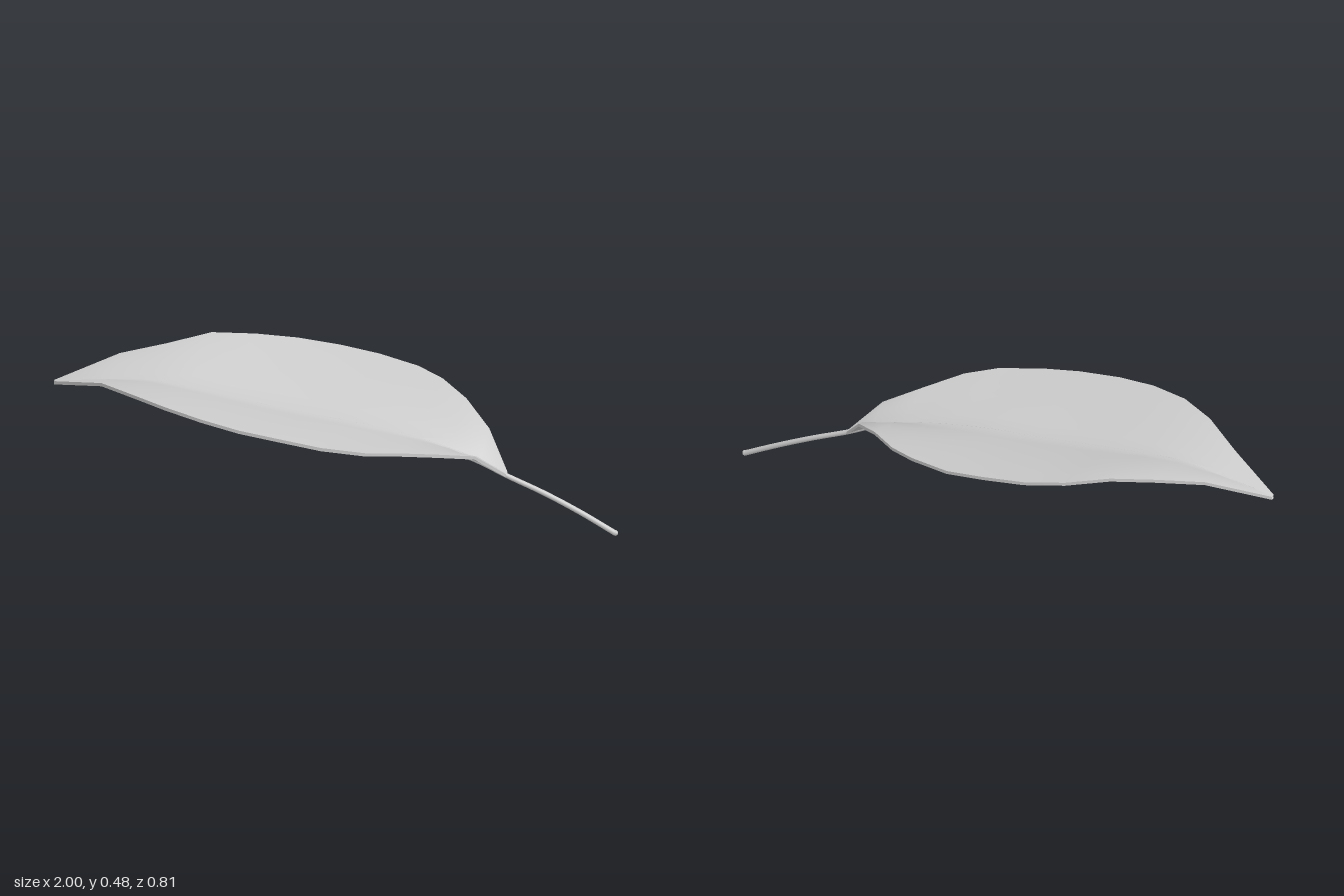
import * as THREE from 'three';
import { toCreasedNormals } from 'three/addons/utils/BufferGeometryUtils.js';

// Leaf cross-sections: x, back edge z y, midrib z y, front edge z y
const STATIONS = [
  [-1.00, -0.015, 0.366, -0.01, 0.366, 0.00, 0.366],
  [-0.80, -0.13, 0.440, 0.00, 0.393, 0.12, 0.425],
  [-0.65, -0.215, 0.460, 0.01, 0.407, 0.245, 0.442],
  [-0.52, -0.30, 0.480, 0.015, 0.398, 0.325, 0.442],
  [-0.38, -0.365, 0.464, 0.02, 0.382, 0.375, 0.430],
  [-0.24, -0.40, 0.450, 0.025, 0.365, 0.40, 0.413],
  [-0.09, -0.407, 0.436, 0.028, 0.348, 0.403, 0.396],
  [0.05, -0.40, 0.420, 0.03, 0.336, 0.395, 0.376],
  [0.20, -0.355, 0.407, 0.03, 0.316, 0.36, 0.358],
  [0.30, -0.30, 0.392, 0.03, 0.298, 0.30, 0.345],
  [0.41, -0.20, 0.368, 0.03, 0.272, 0.205, 0.315],
  [0.52, -0.09, 0.310, 0.028, 0.236, 0.11, 0.283],
  [0.61, 0.008, 0.196, 0.022, 0.194, 0.03, 0.196],
];
const THICKNESS = 0.012;
const HALF = 6; // divisions from midrib to edge

// Closed thin blade: each ring runs across the top and back underneath
function bladeGeometry() {
  const pos = [], index = [];
  const n = 2 * HALF + 1;
  for (const [x, zb, yb, zm, ym, zf, yf] of STATIONS) {
    const section = [];
    for (let k = -HALF; k <= HALF; k++) {
      const s = Math.abs(k) / HALF;
      const [ze, ye] = k < 0 ? [zb, yb] : [zf, yf];
      // steep beside the midrib, flattening toward the edge
      const rise = s * (1.55 - 0.55 * s);
      section.push([x, ym + (ye - ym) * rise, zm + (ze - zm) * s]);
    }
    section.forEach((p) => pos.push(...p));
    section.reverse().forEach(([px, py, pz]) => pos.push(px, py - THICKNESS, pz));
  }
  const ring = 2 * n;
  for (let i = 0; i < STATIONS.length - 1; i++) {
    for (let j = 0; j < ring; j++) {
      const a = i * ring + j, b = i * ring + ((j + 1) % ring);
      index.push(a, b, a + ring, b, b + ring, a + ring);
    }
  }
  const g = new THREE.BufferGeometry();
  g.setAttribute('position', new THREE.Float32BufferAttribute(pos, 3));
  g.setIndex(index);
  return toCreasedNormals(g, 0.7);
}

// Tube whose radius narrows along its length
function taperedTube(points, r0, r1) {
  const curve = new THREE.CatmullRomCurve3(points);
  const segs = 48, sides = 8;
  const g = new THREE.TubeGeometry(curve, segs, 1, sides, false);
  const p = g.attributes.position, v = new THREE.Vector3();
  for (let i = 0; i <= segs; i++) {
    const c = curve.getPointAt(i / segs);
    const r = THREE.MathUtils.lerp(r0, r1, i / segs);
    for (let j = 0; j <= sides; j++) {
      const k = i * (sides + 1) + j;
      v.fromBufferAttribute(p, k).sub(c).multiplyScalar(r).add(c);
      p.setXYZ(k, v.x, v.y, v.z);
    }
  }
  return g;
}

export function createModel() {
  const group = new THREE.Group();
  const material = new THREE.MeshStandardMaterial({ color: 0xcccccc, side: THREE.DoubleSide });
  const add = (name, geometry) => {
    const mesh = new THREE.Mesh(geometry, material);
    mesh.name = name;
    group.add(mesh);
    return mesh;
  };

  add('leafBlade', bladeGeometry());

  // Stem continues into the midrib and thins out toward the tip
  const path = [
    [0.995, 0.008, 0.01], [0.87, 0.073, 0.01], [0.74, 0.134, 0.014],
  ].map((p) => new THREE.Vector3(...p));
  for (const [x, , , zm, ym] of [...STATIONS].reverse().slice(0, -1)) {
    path.push(new THREE.Vector3(x, ym - THICKNESS / 2, zm));
  }
  path.push(new THREE.Vector3(-0.93, 0.372, -0.007));
  add('stemAndMidrib', taperedTube(path, 0.01, 0.006));

  // Rounded end of the stem
  const tip = add('stemEnd', new THREE.SphereGeometry(0.01, 8, 6));
  tip.position.set(0.993, 0.01, 0.01);

  return group;
}
